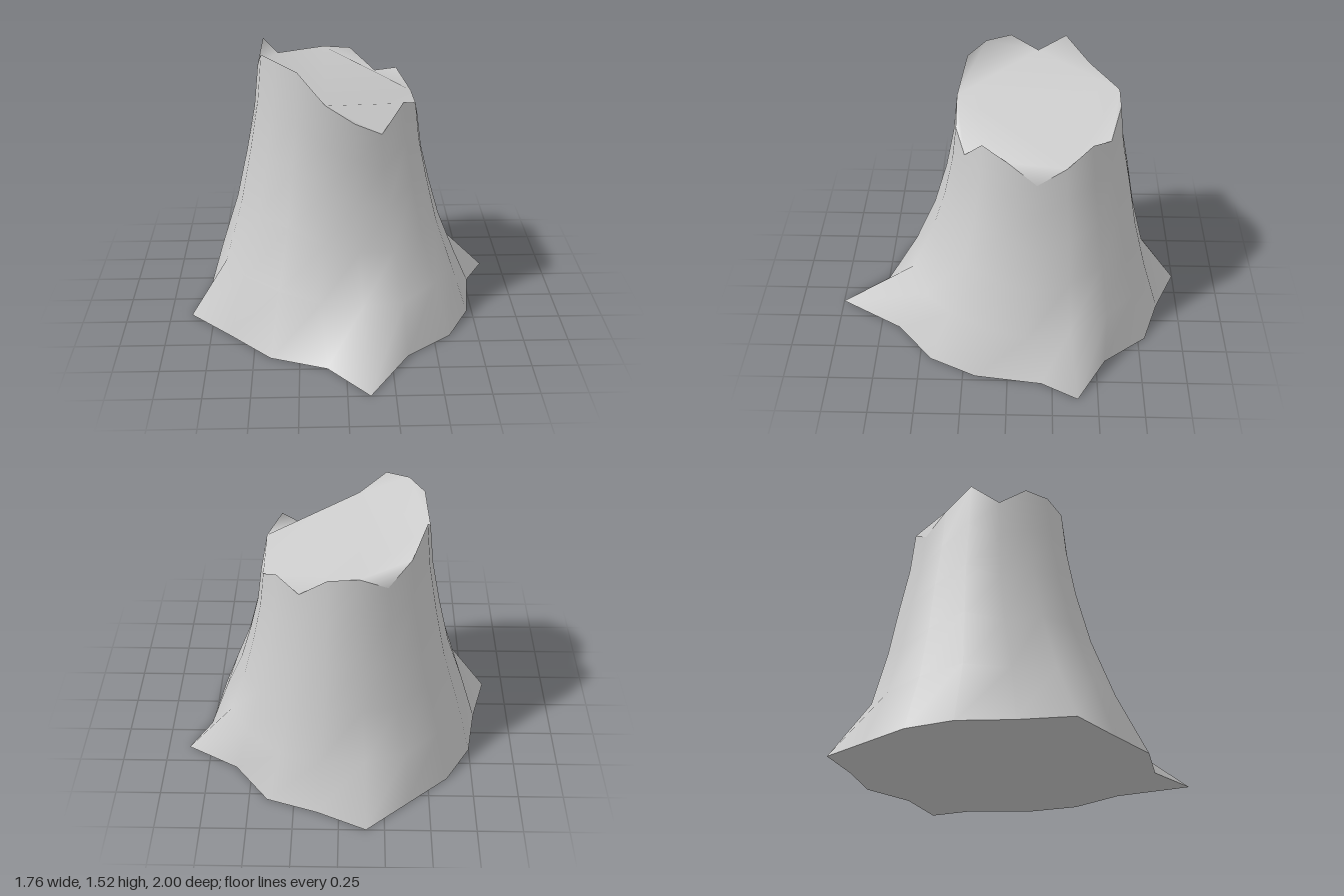
import * as THREE from 'three';

const SIDES = 18;
const CENTER = [-0.02, -0.15];

// Ragged broken rim: height of each column, starting at +x and turning towards +z
const RIM = [1.11, 1.235, 1.29, 1.145, 1.225, 1.33, 1.495, 1.525, 1.52,
  1.41, 1.52, 1.39, 1.29, 1.38, 1.37, 1.245, 1.295, 1.2];

// Root outline on the ground: x, z of each column
const ROOTS = [[0.77, -0.19], [0.72, 0.18], [0.59, 0.44], [0.34, 0.64], [0.12, 1], [-0.1, 0.75],
  [-0.41, 0.64], [-0.64, 0.41], [-0.88, 0.18], [-0.8, -0.1], [-0.75, -0.39], [-0.61, -0.62],
  [-0.38, -0.81], [-0.15, -1], [0.12, -0.88], [0.4, -0.79], [0.59, -0.55], [0.88, -0.39]];

// Trunk rings above the roots: share of the rim height, radius, centre z
const RINGS = [[0.22, 0.69, -0.11], [0.44, 0.59, -0.135], [0.645, 0.525, -0.15],
  [0.83, 0.475, -0.15], [1, 0.45, -0.15]];

function ringPoints([share, radius, cz]) {
  return RIM.map((h, i) => {
    const a = (i / SIDES) * Math.PI * 2;
    return [CENTER[0] + radius * Math.cos(a), h * share, cz + radius * Math.sin(a)];
  });
}

function makeMesh(name, points, index) {
  const geometry = new THREE.BufferGeometry();
  geometry.setAttribute('position', new THREE.Float32BufferAttribute(points.flat(), 3));
  geometry.setIndex(index);
  geometry.computeVertexNormals();
  const mesh = new THREE.Mesh(geometry, new THREE.MeshStandardMaterial({ color: 0xcccccc }));
  mesh.name = name;
  return mesh;
}

export function createModel() {
  const group = new THREE.Group();
  group.name = 'treeStump';
  const ground = ROOTS.map(([x, z]) => [x, 0, z]);
  const rings = [ground, ...RINGS.map(ringPoints)];

  // Bark: smooth skin from the flared roots to the rim
  const bark = [];
  for (let j = 0; j < rings.length - 1; j++) {
    for (let i = 0; i < SIDES; i++) {
      const n = (i + 1) % SIDES;
      const a = j * SIDES + i, b = j * SIDES + n;
      bark.push(a, a + SIDES, b, b, a + SIDES, b + SIDES);
    }
  }
  group.add(makeMesh('bark', rings.flat(), bark));

  // Broken top: ears cut around the uneven rim, then the remaining middle
  const top = [];
  const ear = (a, b, c) => top.push(c % SIDES, b % SIDES, a % SIDES);
  for (let i = 17; i < 17 + SIDES; i += 2) ear(i, i + 1, i + 2);
  for (let i = 1; i < 17; i += 4) ear(i, i + 2, i + 4);
  ear(17, 1, 5);
  ear(5, 9, 13);
  ear(5, 13, 17);
  group.add(makeMesh('brokenTop', rings[rings.length - 1], top));

  // Flat underside
  const under = [];
  for (let i = 0; i < SIDES; i++) under.push(SIDES, i, (i + 1) % SIDES);
  group.add(makeMesh('underside', [...ground, [CENTER[0], 0, CENTER[1]]], under));

  return group;
}
